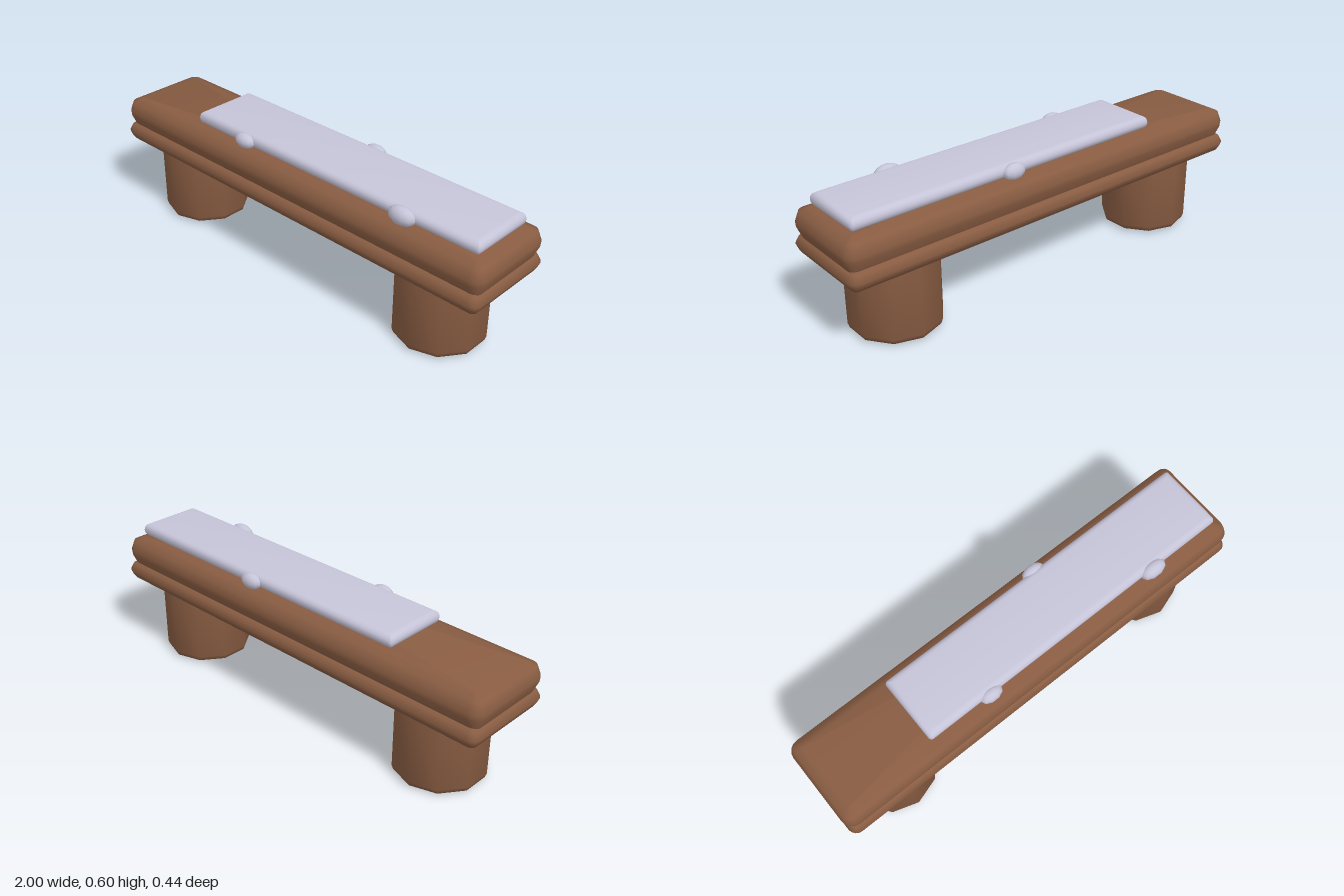
import * as THREE from 'three';
import { toCreasedNormals } from 'three/addons/utils/BufferGeometryUtils.js';

const brown = new THREE.MeshStandardMaterial({ color: 0x885c42 });
brown.name = 'brown wood';
const grey = new THREE.MeshStandardMaterial({ color: 0xc6c4d8 });
grey.name = 'pale grey';

// Rounded slab: stacked rounded-rectangle rings, each given as [height, inset]
function slabGeometry(halfX, halfZ, corner, rings) {
  const steps = 4, count = 4 * (steps + 1);
  const pos = [], index = [];
  for (const [y, inset] of rings) {
    const r = Math.max(corner - inset, 0.006);
    for (let q = 0; q < 4; q++) {
      const sx = q === 0 || q === 3 ? 1 : -1;
      const sz = q < 2 ? 1 : -1;
      for (let s = 0; s <= steps; s++) {
        const a = (q + s / steps) * Math.PI / 2;
        pos.push(
          sx * (halfX - inset - r) + r * Math.cos(a), y,
          sz * (halfZ - inset - r) + r * Math.sin(a));
      }
    }
  }
  const last = (rings.length - 1) * count;
  const bottom = pos.length / 3, top = bottom + 1;
  pos.push(0, rings[0][0], 0, 0, rings[rings.length - 1][0], 0);
  for (let i = 0; i < count; i++) {
    const j = (i + 1) % count;
    for (let k = 0; k < last; k += count) {
      index.push(k + i, k + count + i, k + count + j, k + i, k + count + j, k + j);
    }
    index.push(bottom, i, j, top, last + j, last + i);
  }
  const g = new THREE.BufferGeometry();
  g.setAttribute('position', new THREE.Float32BufferAttribute(pos, 3));
  g.setIndex(index);
  return toCreasedNormals(g, 1.1);
}

export function createModel() {
  const group = new THREE.Group();
  const add = (name, geometry, material, x = 0, y = 0, z = 0) => {
    const mesh = new THREE.Mesh(geometry, material);
    mesh.name = name;
    mesh.position.set(x, y, z);
    group.add(mesh);
    return mesh;
  };

  // Two stacked wooden slabs
  add('lowerSlab', slabGeometry(1, 0.22, 0.04,
    [[0.33, 0.02], [0.35, 0.008], [0.37, 0], [0.398, 0.015], [0.41, 0.04]]), brown);
  add('upperSlab', slabGeometry(1, 0.21, 0.05,
    [[0.4, 0.022], [0.447, 0.002], [0.47, 0], [0.513, 0.016], [0.53, 0.055]]), brown);

  // Thick ten-sided legs with softened feet
  const profile = [[0, 0], [0.17, 0], [0.188, 0.01], [0.195, 0.03], [0.195, 0.34]]
    .map(([r, y]) => new THREE.Vector2(r, y));
  const legGeometry = toCreasedNormals(new THREE.LatheGeometry(profile, 10), 0.9);
  add('rightLeg', legGeometry, brown, -0.702);
  add('leftLeg', legGeometry, brown, 0.698);

  // Thin plate with a half-round edge
  const edge = [];
  for (let i = 0; i <= 8; i++) {
    const a = (i / 8 - 0.5) * Math.PI;
    edge.push([0.561 + 0.03 * Math.sin(a), 0.03 * (1 - Math.cos(a))]);
  }
  add('topPlate', slabGeometry(0.748, 0.15, 0.015, edge), grey, 0.198);

  // Flattened knobs along the plate edges
  const knob = new THREE.SphereGeometry(1, 10, 8);
  add('frontRightKnob', knob, grey, -0.25, 0.558, 0.15).scale.set(0.052, 0.033, 0.031);
  add('frontLeftKnob', knob, grey, 0.6, 0.559, 0.151).scale.set(0.062, 0.039, 0.035);
  add('backKnob', knob, grey, 0.21, 0.558, -0.151).scale.set(0.053, 0.035, 0.031);

  return group;
}
